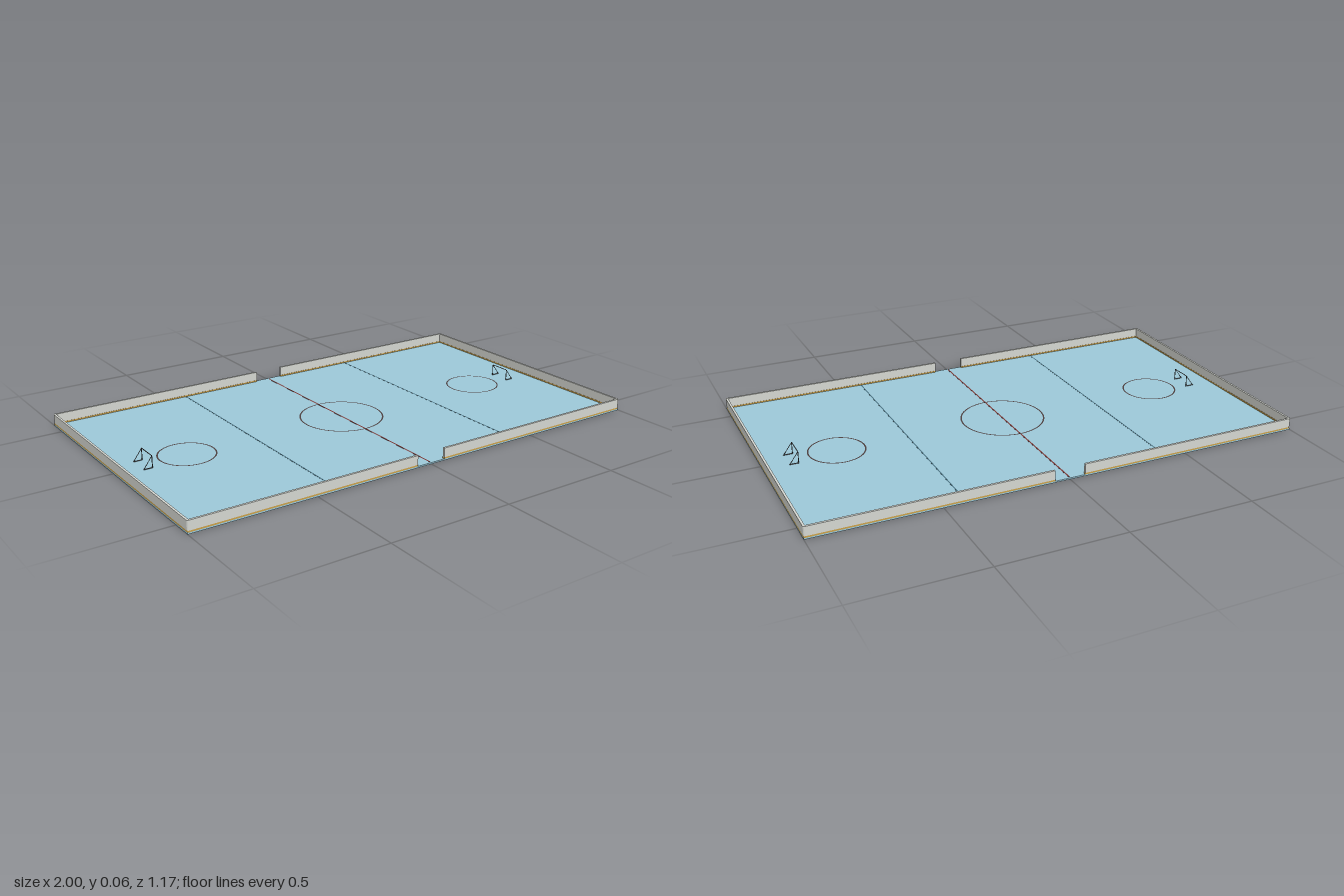
import * as THREE from 'three';

const HX = 1, HZ = 0.583;   // half length and half width of the rink
const ICE = 0.006;          // height of the ice surface
const GATE = 0.062;         // half width of the side openings
const T = 0.009;            // board thickness

const mat = (color) => new THREE.MeshStandardMaterial({ color });
const iceMat = mat(0x9cc8d8), boardMat = mat(0xd4d6d0), kickMat = mat(0xc9a04a);
const redMat = mat(0x7a3a38), blueMat = mat(0x4c7484), circleMat = mat(0x4c4040), goalMat = mat(0x4a4444);

function add(parent, name, geometry, material, x = 0, y = 0, z = 0) {
  const mesh = new THREE.Mesh(geometry, material);
  mesh.name = name;
  mesh.position.set(x, y, z);
  parent.add(mesh);
  return mesh;
}

// U-shaped wall around one half of the rink, with slightly rounded corners
function wallGeometry(side, y0, y1, grow = 0) {
  const r = 0.008, x = HX, z = HZ, t = T + grow;
  const s = new THREE.Shape();
  s.moveTo(GATE, -z);
  s.lineTo(x - r, -z);
  s.quadraticCurveTo(x, -z, x, -z + r);
  s.lineTo(x, z - r);
  s.quadraticCurveTo(x, z, x - r, z);
  s.lineTo(GATE, z);
  s.lineTo(GATE, z - t);
  s.lineTo(x - t, z - t);
  s.lineTo(x - t, -z + t);
  s.lineTo(GATE, -z + t);
  s.closePath();
  const g = new THREE.ExtrudeGeometry(s, { depth: y1 - y0, bevelEnabled: false, curveSegments: 4 });
  g.rotateX(-Math.PI / 2).translate(0, y0, 0);
  if (side < 0) g.rotateY(Math.PI);
  return g;
}

// Flat painted ring lying on the ice
function circle(parent, name, radius, x) {
  const g = new THREE.RingGeometry(radius - 0.006, radius, 64).rotateX(-Math.PI / 2);
  add(parent, name, g, circleMat, x, ICE + 0.0008, 0);
}

// Straight bar between two points
function bar(parent, name, a, b, radius = 0.0016) {
  const path = new THREE.LineCurve3(new THREE.Vector3(...a), new THREE.Vector3(...b));
  add(parent, name, new THREE.TubeGeometry(path, 1, radius, 6), goalMat);
}

// Goal frame, mouth at x = 0 with the arms reaching back along +x
function createGoal() {
  const goal = new THREE.Group();
  const w = 0.044, top = 0.054, back = 0.035;
  bar(goal, 'crossbar', [0, top, -w], [0, top, w]);
  for (const z of [-w, w]) {
    bar(goal, 'goalPost', [0, ICE, z], [0, top, z]);
    bar(goal, 'goalBaseArm', [0, ICE + 0.001, z], [back, ICE + 0.001, z]);
    bar(goal, 'goalBackArm', [0, top, z], [back, ICE, z], 0.0012);
  }
  return goal;
}

export function createModel() {
  const rink = new THREE.Group();
  rink.name = 'iceRink';

  // Ice slab
  add(rink, 'ice', new THREE.BoxGeometry(2 * HX, ICE, 2 * HZ), iceMat, 0, ICE / 2, 0);

  // Painted lines and circles
  const line = (name, width, x, material) =>
    add(rink, name, new THREE.BoxGeometry(width, 0.001, 2 * (HZ - T)), material, x, ICE, 0);
  line('centreLine', 0.006, 0, redMat);
  circle(rink, 'centreCircle', 0.172, 0);

  for (const side of [-1, 1]) {
    line('blueLine', 0.005, side * 0.414, blueMat);
    circle(rink, 'faceOffCircle', 0.114, side * 0.704);

    // Kick plate below the boards
    add(rink, 'kickPlate', wallGeometry(side, ICE, 0.012, 0.001), kickMat);
    add(rink, 'boards', wallGeometry(side, 0.012, 0.049), boardMat);

    const goal = createGoal();
    goal.name = side > 0 ? 'leftGoal' : 'rightGoal';
    goal.position.x = side * 0.866;
    if (side < 0) goal.rotation.y = Math.PI;
    rink.add(goal);
  }
  return rink;
}
